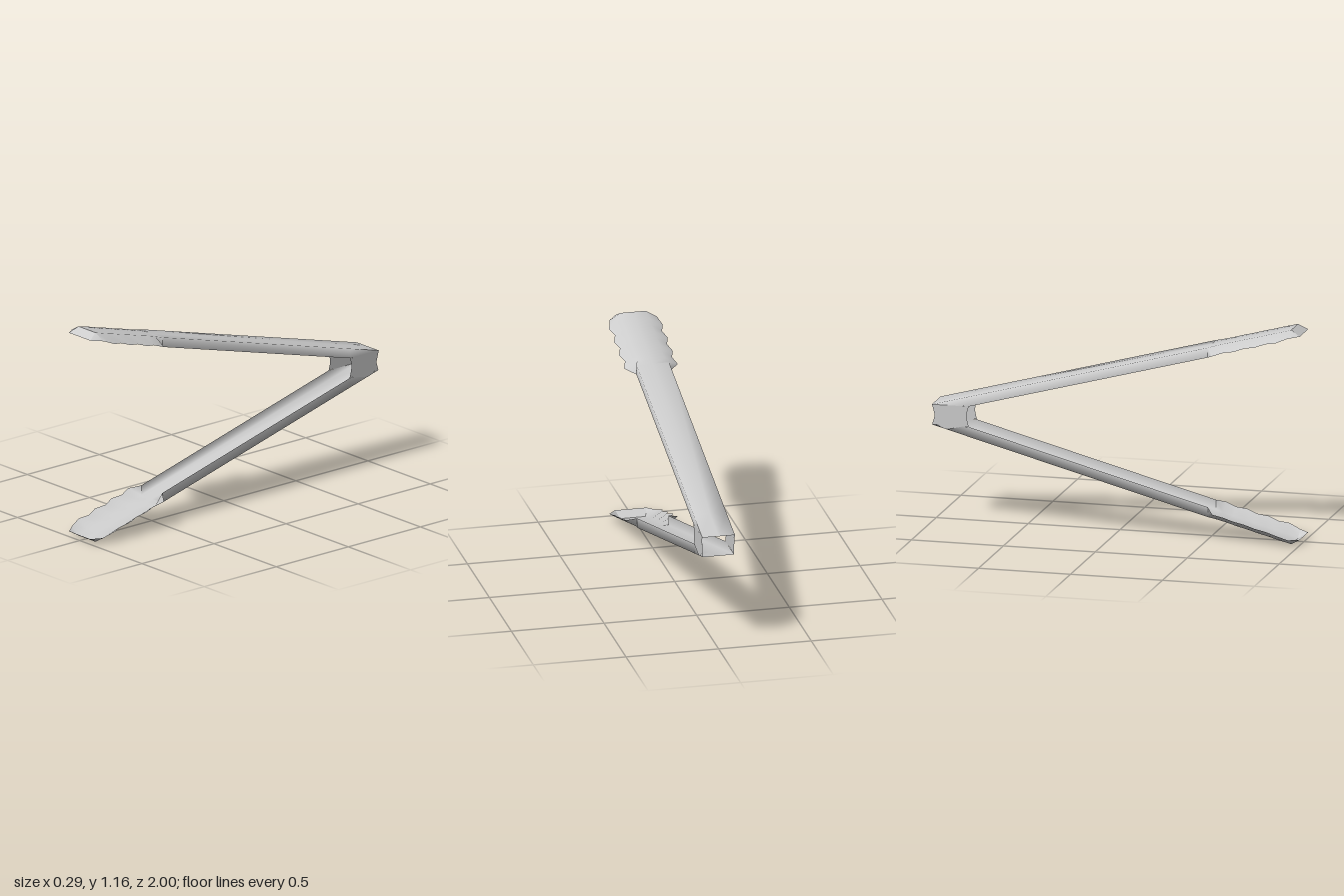
import * as THREE from 'three';

const HEIGHT = 1.16;
const SLOPE = 0.269;
const material = new THREE.MeshStandardMaterial({ color: 0xcccccc, side: THREE.DoubleSide });
const ridgeY = z => 0.635 + SLOPE * (z + 1);

// Sheet-metal channel, open underneath, lofted through stations of
// [ridge z, rim z, ridge half width, rim half width, rim drop].
function channel(name, stations) {
  const positions = [];
  const indices = [];
  for (const [zTop, zRim, wTop, wRim, drop] of stations) {
    const yTop = ridgeY(zTop);
    const yRim = ridgeY(zRim) - drop;
    positions.push(
      -wRim, yRim, zRim,
      -wTop, yTop, zTop,
      0, yTop, zTop,
      wTop, yTop, zTop,
      wRim, yRim, zRim
    );
  }
  for (let i = 0; i < stations.length - 1; i++) {
    for (let j = 0; j < 4; j++) {
      const a = i * 5 + j, b = a + 1, c = a + 5, d = c + 1;
      indices.push(a, c, b, b, c, d);
    }
  }
  const geometry = new THREE.BufferGeometry();
  geometry.setAttribute('position', new THREE.Float32BufferAttribute(positions, 3));
  geometry.setIndex(indices);
  geometry.computeVertexNormals();
  const mesh = new THREE.Mesh(geometry, material);
  mesh.name = name;
  return mesh;
}

// Flat hinge tab hanging from the back of the channel wall
function hingeTab(name, x) {
  const shape = new THREE.Shape();
  shape.moveTo(0.8, 0.635);
  shape.quadraticCurveTo(0.815, 0.59, 0.817, 0.53);
  shape.quadraticCurveTo(0.87, 0.515, 0.92, 0.505);
  shape.quadraticCurveTo(0.965, 0.515, 0.977, 0.54);
  shape.quadraticCurveTo(0.985, 0.59, 1, 0.635);
  const geometry = new THREE.ShapeGeometry(shape, 6);
  geometry.rotateY(Math.PI / 2); // shape x runs towards -z
  const mesh = new THREE.Mesh(geometry, material);
  mesh.position.x = x;
  mesh.name = name;
  return mesh;
}

function createArm(name, w) {
  const arm = new THREE.Group();
  arm.name = name;

  // Handle: the wall tapers to nothing behind the hinge tab
  arm.add(channel('handle', [
    [-1, -1, w, w, 0],
    [-0.8, -0.8, w, w, 0.053],
    [0.5, 0.5, w, w, 0.053]
  ]));

  // Gripping head: flared, scalloped sides and a sloping tip
  const stations = [[0.5, 0.5, w, w, 0.053]];
  for (let i = 0; i < 7; i++) {
    const z = 0.54 + i * 0.057;
    const peak = i % 2 === 0;
    stations.push([z, z, peak ? 0.075 : 0.07, peak ? 0.145 : 0.127, peak ? 0.041 : 0.038]);
  }
  stations.push([0.95, 0.945, 0.068, 0.127, 0.033]);
  stations.push([0.95, 1.0, 0.068, 0.085, 0.043]);
  arm.add(channel('grippingHead', stations));

  // Tip closing the front of the head
  const yTop = ridgeY(0.95), yLip = ridgeY(1) - 0.043;
  const tip = new THREE.BufferGeometry();
  tip.setAttribute('position', new THREE.Float32BufferAttribute([
    -0.068, yTop, 0.95, 0.068, yTop, 0.95, -0.085, yLip, 1, 0.085, yLip, 1
  ], 3));
  tip.setIndex([0, 2, 1, 1, 2, 3]);
  tip.computeVertexNormals();
  const tipMesh = new THREE.Mesh(tip, material);
  tipMesh.name = 'tip';
  arm.add(tipMesh);

  arm.add(hingeTab('leftHingeTab', w), hingeTab('rightHingeTab', -w));
  return arm;
}

export function createModel() {
  const model = new THREE.Group();
  model.name = 'tongs';

  const upper = createArm('upperArm', 0.088);

  // Lower arm: mirrored and slightly narrower so its tabs nest inside
  const lower = createArm('lowerArm', 0.084);
  lower.scale.y = -1;
  lower.position.y = HEIGHT;

  model.add(upper, lower);
  return model;
}
